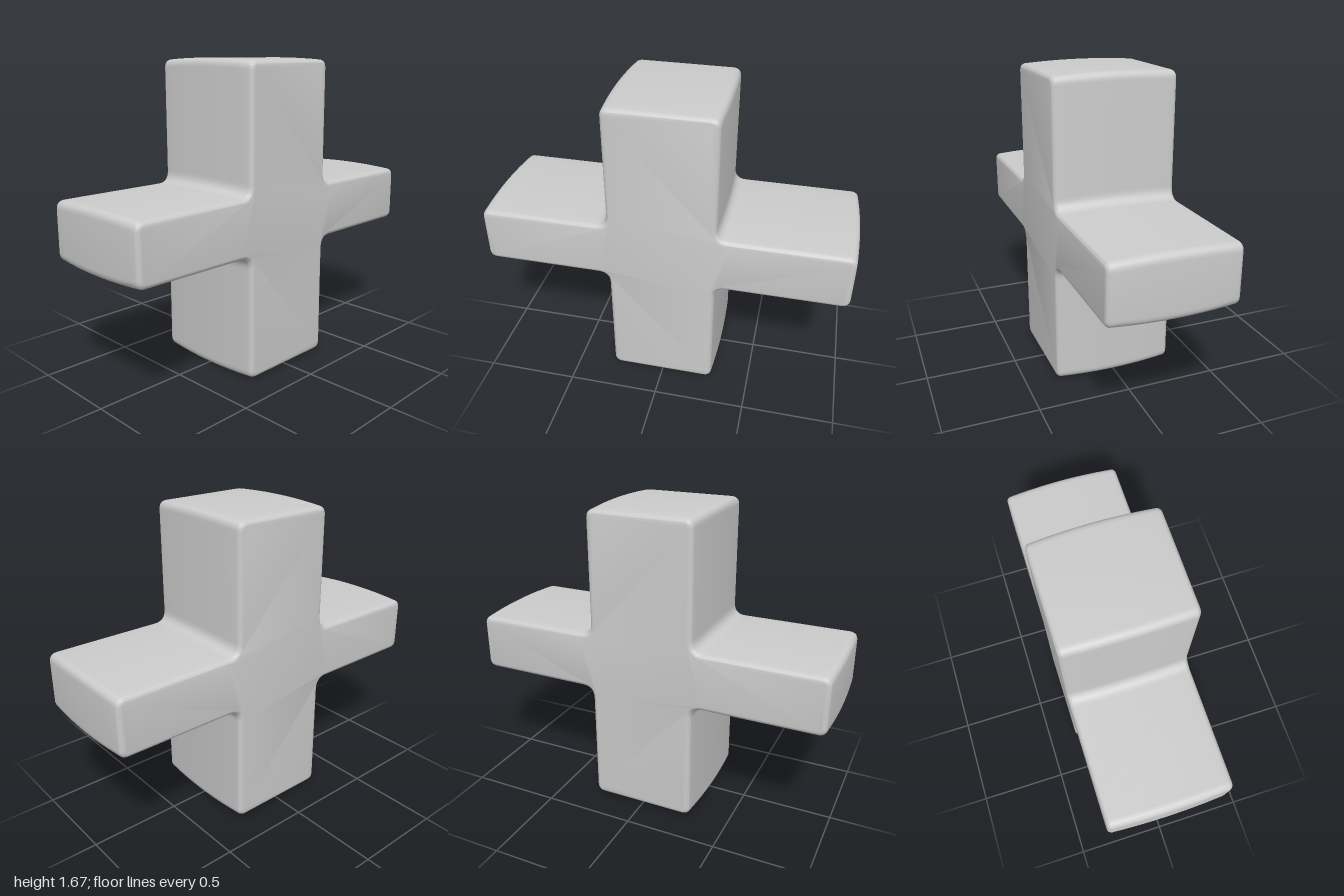
import * as THREE from 'three';
import { toCreasedNormals } from 'three/addons/utils/BufferGeometryUtils.js';

const ARM_X = 1.0, BAR_X = 0.3;          // half length of the arms, half width of the bar
const HEIGHT = 1.667, MID = HEIGHT / 2;  // bar height and arm centre height
const ARM_Y = 0.165, HALF_Z = 0.333;     // half thickness of the arms, half depth

// Cross outline; outer corners are tight, inner corners get a wider fillet
function crossShape() {
  const corners = [];
  for (const [sx, sy] of [[1, 1], [-1, 1], [-1, -1], [1, -1]]) {
    const quarter = [[ARM_X, ARM_Y, 0.045], [BAR_X, ARM_Y, 0.065], [BAR_X, MID, 0.045]];
    if (sx * sy < 0) quarter.reverse();
    for (const [x, y, r] of quarter) corners.push({ p: new THREE.Vector2(sx * x, sy * y), r });
  }
  const shape = new THREE.Shape();
  const toward = (a, b, d) => b.clone().sub(a).setLength(d).add(a);
  corners.forEach(({ p, r }, i) => {
    const prev = corners.at(i - 1).p, next = corners[(i + 1) % corners.length].p;
    const a = toward(p, prev, r), b = toward(p, next, r);
    if (i === 0) shape.moveTo(a.x, a.y);
    else shape.lineTo(a.x, a.y);
    shape.quadraticCurveTo(p.x, p.y, b.x, b.y);
  });
  shape.closePath();
  return shape;
}

export function createModel() {
  const bevel = 0.024;
  const geometry = new THREE.ExtrudeGeometry(crossShape(), {
    depth: 2 * (HALF_Z - bevel), steps: 12, curveSegments: 7,
    bevelEnabled: true, bevelThickness: bevel, bevelSize: bevel, bevelOffset: -bevel, bevelSegments: 6,
  });
  geometry.translate(0, 0, bevel - HALF_Z);

  // Bulge the sides and ends gently by drawing them in toward the front and back
  const pos = geometry.attributes.position;
  for (let i = 0; i < pos.count; i++) {
    const x = pos.getX(i), y = pos.getY(i), z = pos.getZ(i);
    const inset = 0.012 * (z / HALF_Z) ** 2;
    pos.setX(i, x - inset * THREE.MathUtils.clamp(x / 0.25, -1, 1));
    pos.setY(i, y - inset * THREE.MathUtils.clamp(y / 0.13, -1, 1));
  }
  geometry.translate(0, MID, 0);

  const cross = new THREE.Mesh(
    toCreasedNormals(geometry, 0.8),
    new THREE.MeshStandardMaterial({ color: 0xcccccc }),
  );
  cross.name = 'roundedCross';
  const group = new THREE.Group();
  group.name = 'cross';
  group.add(cross);
  return group;
}
